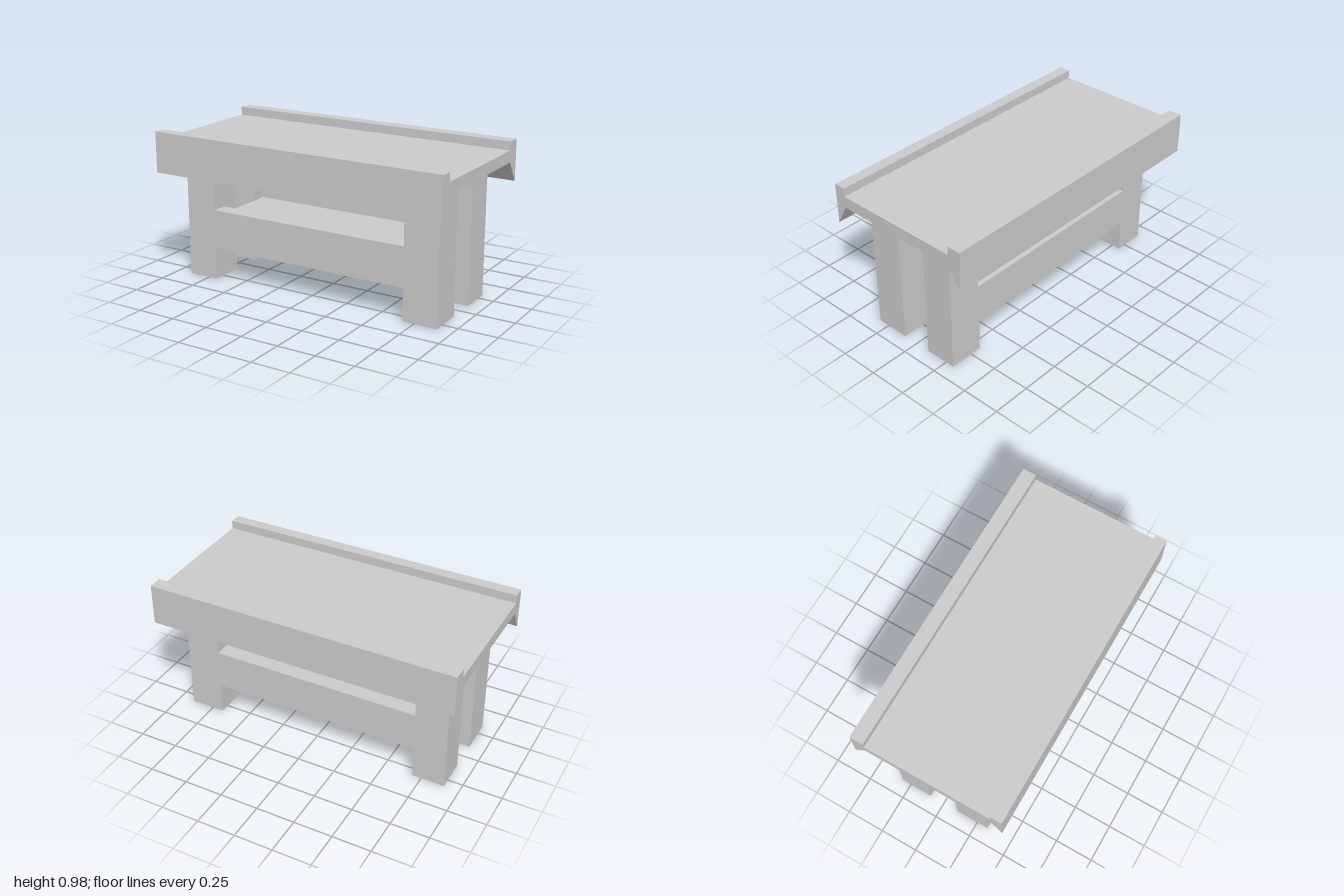
import * as THREE from 'three';

const material = new THREE.MeshStandardMaterial({ color: 0xcccccc, flatShading: true });

// Extrudes a [z, y] cross-section along x from x0 to x1
function beam(name, profile, x0, x1) {
  const shape = new THREE.Shape(profile.map(([z, y]) => new THREE.Vector2(-z, y)));
  const geometry = new THREE.ExtrudeGeometry(shape, { depth: x1 - x0, bevelEnabled: false });
  geometry.rotateY(Math.PI / 2).translate(x0, 0, 0);
  const mesh = new THREE.Mesh(geometry, material);
  mesh.name = name;
  return mesh;
}

export function createModel() {
  const group = new THREE.Group();
  group.name = 'table';

  // Top slab with raised rims and tapered aprons along both long edges
  group.add(beam('tableTop', [
    [0.5, 0.71], [0.5, 0.975], [0.425, 0.975], [0.425, 0.92],
    [-0.41, 0.92], [-0.41, 0.975], [-0.5, 0.975], [-0.5, 0.71],
    [-0.41, 0.845], [0.425, 0.845],
  ], -1, 1));

  // Four square legs
  const legX = { Right: [-0.9, -0.69], Left: [0.675, 0.9] };
  const legZ = { front: [0.1, 0.325], back: [-0.31, -0.1] };
  for (const [side, [x0, x1]] of Object.entries(legX)) {
    for (const [end, [z0, z1]] of Object.entries(legZ)) {
      group.add(beam(`${end}${side}Leg`, [[z0, 0], [z1, 0], [z1, 0.845], [z0, 0.845]], x0, x1));
    }
  }

  // Lower shelf between the legs, with a low lip at front and back
  group.add(beam('shelf', [
    [0.325, 0.21], [0.325, 0.465], [0.225, 0.465], [0.225, 0.42],
    [-0.21, 0.42], [-0.21, 0.465], [-0.31, 0.465], [-0.31, 0.21],
  ], -0.69, 0.675));

  return group;
}
